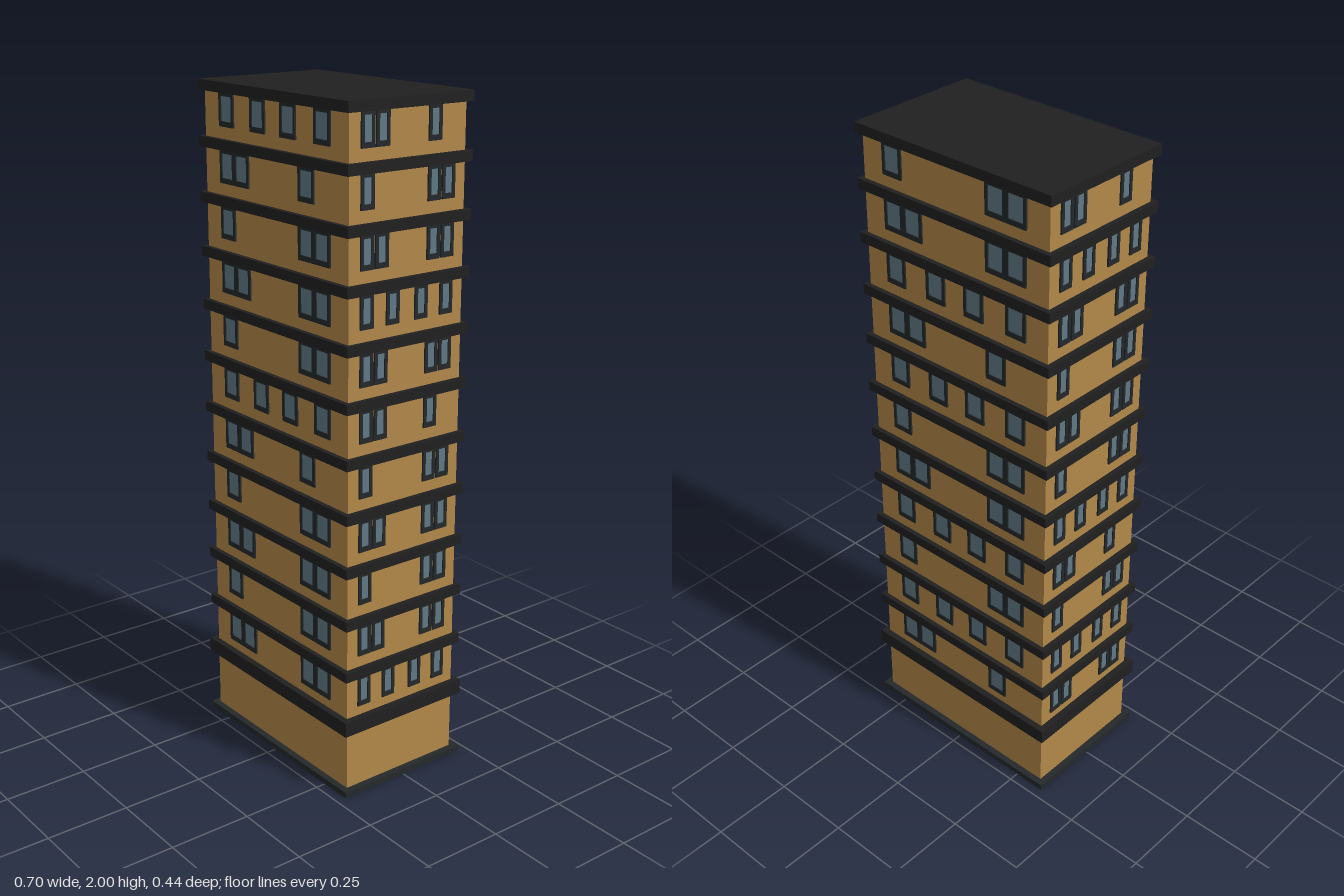
import * as THREE from 'three';

const mat = (color) => new THREE.MeshStandardMaterial({ color, flatShading: true });
const wallMat = mat(0xb28849);
const trimMat = mat(0x202020);
const frameMat = mat(0x24282a);
const glassMat = mat(0x607885);

const FLOORS = 11, STEP = 0.16;
const HALF_W = 0.33, HALF_D = 0.2;

function box(name, w, y0, y1, d, material) {
  const m = new THREE.Mesh(new THREE.BoxGeometry(w, y1 - y0, d), material);
  m.name = name;
  m.position.y = (y0 + y1) / 2;
  return m;
}

function rectShape(x0, y0, x1, y1, Type = THREE.Shape) {
  return new Type([
    new THREE.Vector2(x0, y0), new THREE.Vector2(x1, y0),
    new THREE.Vector2(x1, y1), new THREE.Vector2(x0, y1),
  ]);
}

// Rectangle with a rectangular opening, extruded along z
function frameGeometry(outer, inner, depth) {
  const shape = rectShape(...outer);
  shape.holes.push(rectShape(...inner, THREE.Path));
  return new THREE.ExtrudeGeometry(shape, { depth, bevelEnabled: false });
}

// Open rectangular band lying flat, from y0 to y1
function ring(name, hw, hd, iw, id, y0, y1, material) {
  const geo = frameGeometry([-hw, -hd, hw, hd], [-iw, -id, iw, id], y1 - y0);
  geo.rotateX(-Math.PI / 2);
  const m = new THREE.Mesh(geo, material);
  m.name = name;
  m.position.y = y0;
  return m;
}

// Window layouts, as positions [outerLeft, innerLeft, midLeft, midRight, innerRight, outerRight]
const LAYOUTS = {
  A: [0, 2, 3, 5],   // evenly spaced
  B: [0, 1, 4],      // pair, single
  C: [0, 4, 5],      // single, pair
  D: [0, 1, 4, 5],   // two pairs
};

function facade(name, rows, columns, width, wall, angle) {
  const group = new THREE.Group();
  group.name = name;
  const h = width / 2, g = h - 0.01;
  const frameGeo = frameGeometry([-h, -0.125, h, -0.03], [-g, -0.11, g, -0.04], 0.008);
  const glassGeo = new THREE.BoxGeometry(2 * g, 0.07, 0.004);
  for (let i = 0; i < FLOORS; i++) {
    for (const c of LAYOUTS[rows[i]]) {
      const win = new THREE.Group();
      win.name = 'window';
      const frame = new THREE.Mesh(frameGeo, frameMat);
      frame.name = 'windowFrame';
      frame.position.z = -0.003;
      const glass = new THREE.Mesh(glassGeo, glassMat);
      glass.name = 'windowGlass';
      glass.position.set(0, -0.075, 0);
      win.add(frame, glass);
      win.position.set(columns[c], 2 - i * STEP, wall);
      group.add(win);
    }
  }
  group.rotation.y = angle;
  return group;
}

export function createModel() {
  const tower = new THREE.Group();
  tower.name = 'towerBlock';

  // Hollow ground floor, open underneath
  tower.add(ring('groundStrip', 0.35, 0.22, 0.32, 0.19, 0, 0.018, frameMat));
  tower.add(ring('groundFloorWalls', HALF_W, HALF_D, 0.32, 0.19, 0.005, 0.21, wallMat));
  tower.add(box('groundFloorCornice', 0.7, 0.2, 0.245, 0.44, trimMat));

  // Upper storeys: one wall block and one dark slab above each
  for (let i = 0; i < FLOORS; i++) {
    const top = 2 - i * STEP;
    tower.add(box('storeyWalls', 2 * HALF_W, top - STEP, top - 0.03, 2 * HALF_D, wallMat));
    tower.add(box(i ? 'floorSlab' : 'roofSlab', 0.69, top - 0.03, top, 0.43, trimMat));
  }

  // Windows on all four sides, listed from the top storey down
  const wide = [-0.22, -0.15, -0.07, 0.07, 0.15, 0.22];
  const narrow = [-0.14, -0.09, -0.05, 0.05, 0.09, 0.14];
  tower.add(facade('frontWindows', 'ABCDCABCDCD', wide, 0.07, HALF_D, 0));
  tower.add(facade('backWindows', 'CDABACDACAB', wide, 0.07, HALF_D, Math.PI));
  tower.add(facade('leftWindows', 'BCDADBCDCDA', narrow, 0.045, HALF_W, Math.PI / 2));
  tower.add(facade('rightWindows', 'BADCDCABCAD', narrow, 0.045, HALF_W, -Math.PI / 2));

  return tower;
}
